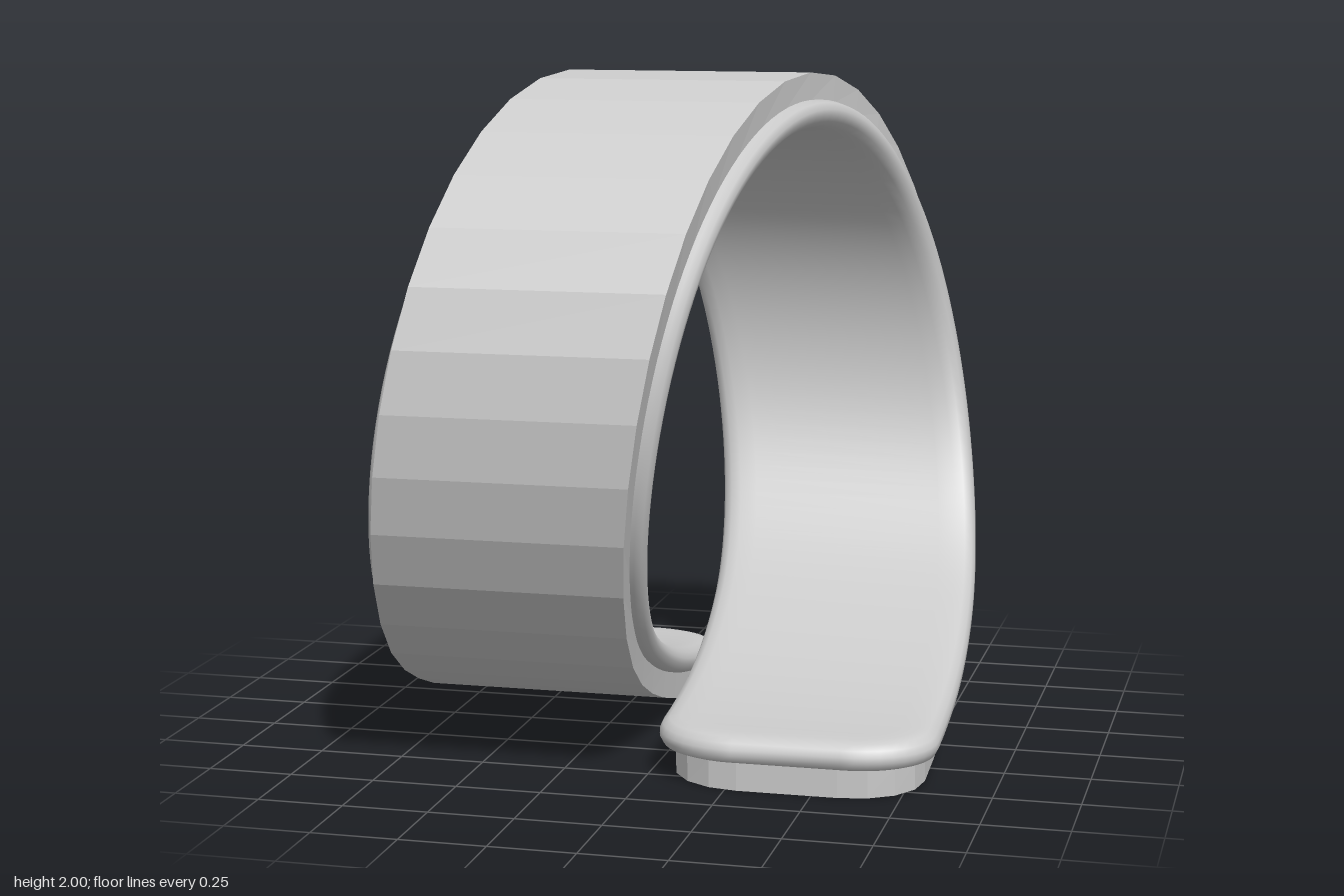
import * as THREE from 'three';

// Centre line: a large arc over the top, then a flatter arc to each end.
const R1 = 0.845, CY = 1.075, BEND = THREE.MathUtils.degToRad(155);
const R2 = 2.414, S0 = R1 * BEND;

// Point on the bent band: s along it, u across it, h towards the inside.
function bend(s, u, h) {
  const side = s < 0 ? -1 : 1, t = Math.abs(s);
  let a, z, y;
  if (t < S0) {
    a = t / R1;
    z = R1 * Math.sin(a);
    y = CY + R1 * Math.cos(a);
  } else {
    a = BEND + (t - S0) / R2;
    z = R1 * Math.sin(BEND) + R2 * (Math.sin(a) - Math.sin(BEND));
    y = CY + R1 * Math.cos(BEND) + R2 * (Math.cos(a) - Math.cos(BEND));
  }
  const drift = -0.43 * Math.sin(Math.min(1, t / 2.85) * Math.PI / 2);
  return [u + side * drift, y - h * Math.cos(a), side * (z - h * Math.sin(a))];
}

// Rounded-rectangle slab, bent into the spiral; layers are [inset, height].
function bandGeometry({ length, width, cornerS, cornerU, steps, cornerSteps, layers }) {
  const pos = [], idx = [];
  const straight = length - cornerS;
  // stations as [s, corner angle]
  const stations = [];
  for (let i = cornerSteps; i > 0; i--) stations.push([-1, (i / cornerSteps) * Math.PI / 2]);
  for (let i = 0; i <= steps; i++) stations.push([(2 * i) / steps - 1, 0]);
  for (let i = 1; i <= cornerSteps; i++) stations.push([1, (i / cornerSteps) * Math.PI / 2]);
  const n = stations.length, ring = 2 * n;

  for (const [inset, h] of layers) {
    const outline = stations.map(([k, a]) => [
      k * straight + Math.sign(k) * (cornerS - inset) * Math.sin(a),
      width - inset - (cornerU - inset) * (1 - Math.cos(a)),
    ]);
    for (const [s, u] of outline) pos.push(...bend(s, u, h));
    for (const [s, u] of outline.reverse()) pos.push(...bend(s, -u, h));
  }
  // side walls
  for (let k = 0; k < layers.length - 1; k++) {
    for (let i = 0; i < ring; i++) {
      const j = (i + 1) % ring, a = k * ring, b = a + ring;
      idx.push(a + i, a + j, b + j, a + i, b + j, b + i);
    }
  }
  // outer and inner faces
  const top = (layers.length - 1) * ring;
  for (let i = 0; i < n - 1; i++) {
    const q = ring - 1 - i;
    idx.push(top + i, top + i + 1, top + q - 1, top + i, top + q - 1, top + q);
    idx.push(i, q - 1, i + 1, i, q, q - 1);
  }
  const geometry = new THREE.BufferGeometry();
  geometry.setAttribute('position', new THREE.Float32BufferAttribute(pos, 3));
  geometry.setIndex(idx);
  geometry.computeVertexNormals();
  return geometry;
}

export function createModel() {
  const group = new THREE.Group();
  group.name = 'spiralBand';

  // Faceted outer strap
  const strapGeometry = bandGeometry({
    length: 3.28, width: 0.365, cornerS: 0.18, cornerU: 0.22,
    steps: 38, cornerSteps: 4,
    layers: [[0, -0.08], [0, 0.002]],
  }).toNonIndexed();
  strapGeometry.computeVertexNormals();
  const strap = new THREE.Mesh(strapGeometry,
    new THREE.MeshStandardMaterial({ color: 0xcccccc, flatShading: true }));
  strap.name = 'outerStrap';
  group.add(strap);

  // Smooth inner pad with a soft rolled edge
  const pad = new THREE.Mesh(bandGeometry({
    length: 3.305, width: 0.407, cornerS: 0.2, cornerU: 0.25,
    steps: 120, cornerSteps: 10,
    layers: [[0.03, 0], [0.01, 0.008], [0, 0.028], [0.001, 0.045], [0.01, 0.063],
      [0.03, 0.077], [0.06, 0.082], [0.11, 0.083]],
  }), new THREE.MeshStandardMaterial({ color: 0xcccccc }));
  pad.name = 'innerPad';
  group.add(pad);

  return group;
}
